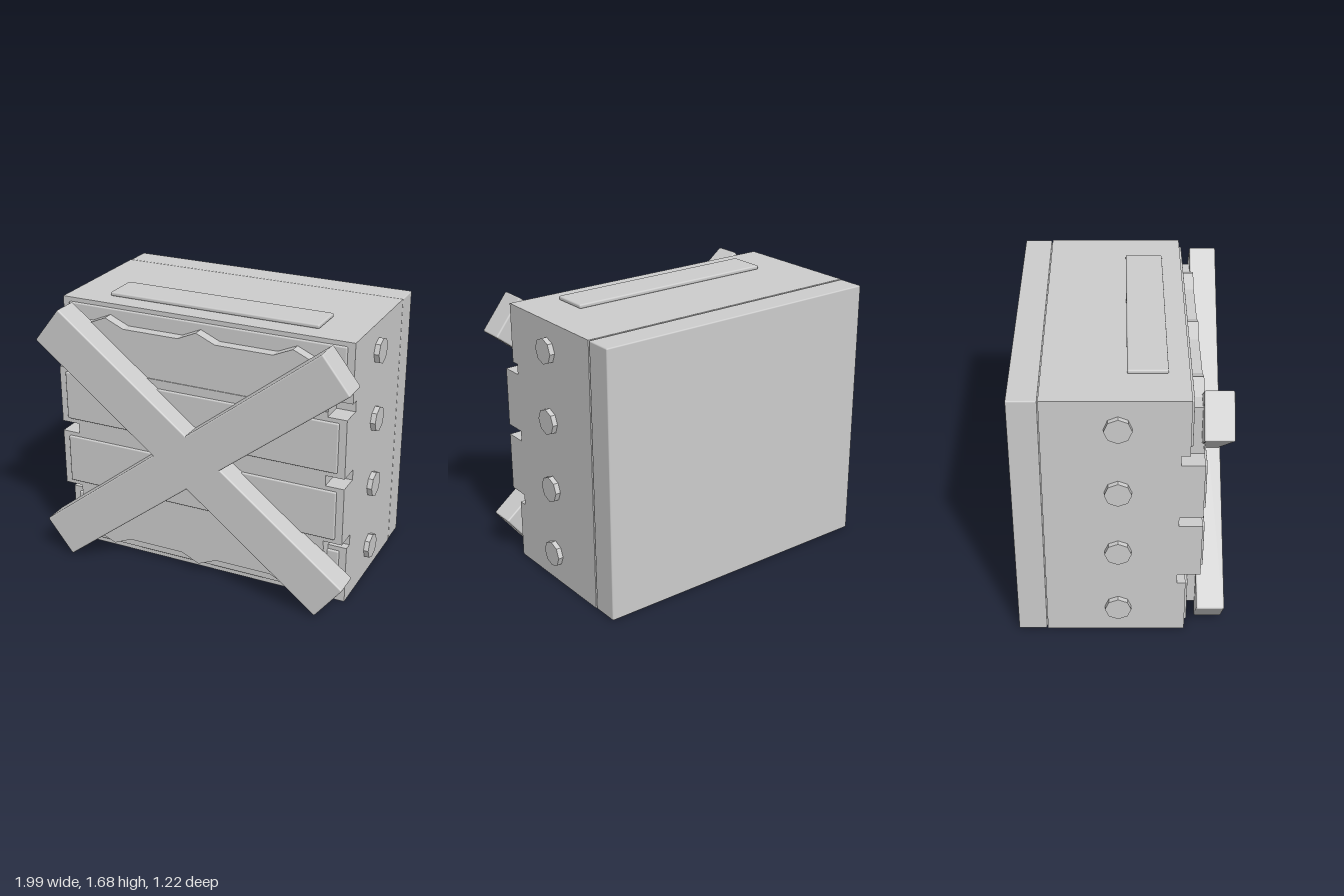
import * as THREE from 'three';
import { RoundedBoxGeometry } from 'three/addons/geometries/RoundedBoxGeometry.js';

export function createModel() {
  const model = new THREE.Group();
  model.name = 'boardedCrate';
  const grey = new THREE.MeshStandardMaterial({ color: 0xcccccc });
  grey.name = 'plainGrey';

  const add = (name, geometry) => {
    const mesh = new THREE.Mesh(geometry, grey);
    mesh.name = name;
    model.add(mesh);
    return mesh;
  };
  // Softly bevelled box given by its limits on each axis
  const block = (name, [x0, x1], [y0, y1], [z0, z1], r = 0.008) => {
    const g = new RoundedBoxGeometry(x1 - x0, y1 - y0, z1 - z0, 2, r);
    g.translate((x0 + x1) / 2, (y0 + y1) / 2, (z0 + z1) / 2);
    return add(name, g);
  };
  // Side profile of [z, y] points, swept across x0..x1
  const sweep = (name, points, x0, x1) => {
    const shape = new THREE.Shape(points.map(p => new THREE.Vector2(...p)));
    const g = new THREE.ExtrudeGeometry(shape, { depth: x1 - x0, bevelEnabled: false });
    g.rotateY(-Math.PI / 2).translate(x1, 0, 0);
    return add(name, g);
  };

  // Rear slab and a recessed seam between it and the body
  block('rearSlab', [-0.935, 0.935], [0.003, 1.657], [-0.61, -0.443]);
  block('rearSeam', [-0.925, 0.925], [0.013, 1.647], [-0.46, -0.42]);

  // Body core, stepped forward in the middle
  sweep('bodyCore', [
    [-0.437, 0.003], [0.38, 0.003], [0.38, 0.405], [0.465, 0.405],
    [0.465, 1.26], [0.38, 1.26], [0.38, 1.657], [-0.437, 1.657],
  ], -0.82, 0.82);

  // Body sides, with three notches cut in the front edge
  const cheek = [
    [-0.437, 0.003], [0.38, 0.003], [0.38, 0.37], [0.33, 0.37], [0.33, 0.437], [0.465, 0.437],
    [0.465, 0.8], [0.33, 0.8], [0.33, 0.865], [0.465, 0.865],
    [0.465, 1.23], [0.33, 1.23], [0.33, 1.295], [0.38, 1.295], [0.38, 1.657], [-0.437, 1.657],
  ];
  sweep('leftSide', cheek, 0.82, 0.935);
  sweep('rightSide', cheek, -0.935, -0.82);

  // Shallow panels at top and bottom, raised panels in the middle
  block('topPanel', [-0.89, 0.89], [1.322, 1.63], [0.36, 0.395]);
  block('bottomPanel', [-0.89, 0.89], [0.035, 0.343], [0.36, 0.395]);
  for (const y of [0.62, 1.05]) block('middlePanel', [-0.89, 0.89], [y - 0.155, y + 0.155], [0.44, 0.479]);

  // Front sheet with three pointed bumps along its top and bottom edges
  const edge = [[-0.82, 0.71]];
  for (const x of [-0.6, 0, 0.6]) edge.push([x - 0.12, 0.71], [x, 0.763], [x + 0.12, 0.71]);
  edge.push([0.82, 0.71]);
  const outline = [
    ...edge.map(([x, y]) => new THREE.Vector2(x, 0.83 - y)),
    ...edge.reverse().map(([x, y]) => new THREE.Vector2(x, 0.83 + y)),
  ];
  const sheet = new THREE.ExtrudeGeometry(new THREE.Shape(outline), { depth: 0.085, bevelEnabled: false });
  add('bumpedFrontSheet', sheet.translate(0, 0, 0.375));

  // Crossed boards on the front
  for (const side of [-1, 1]) {
    const board = add('crossBoard', new RoundedBoxGeometry(2.324, 0.274, 0.165, 2, 0.01));
    board.position.set(0, 0.832, 0.5275);
    board.rotation.z = side * Math.atan2(0.716, 0.915);
  }

  // Eight-sided studs down both sides
  for (const side of [-1, 1]) {
    for (const y of [0.187, 0.618, 1.049, 1.48]) {
      const g = new THREE.CylinderGeometry(0.078, 0.078, 0.06, 8).toNonIndexed();
      g.computeVertexNormals();
      g.rotateZ(Math.PI / 2);
      add('sideStud', g).position.set(side * 0.936, y, -0.015);
    }
  }

  // Thin plate on the lid
  block('lidPlate', [-0.675, 0.675], [1.657, 1.683], [0.035, 0.262], 0.01);

  return model;
}
